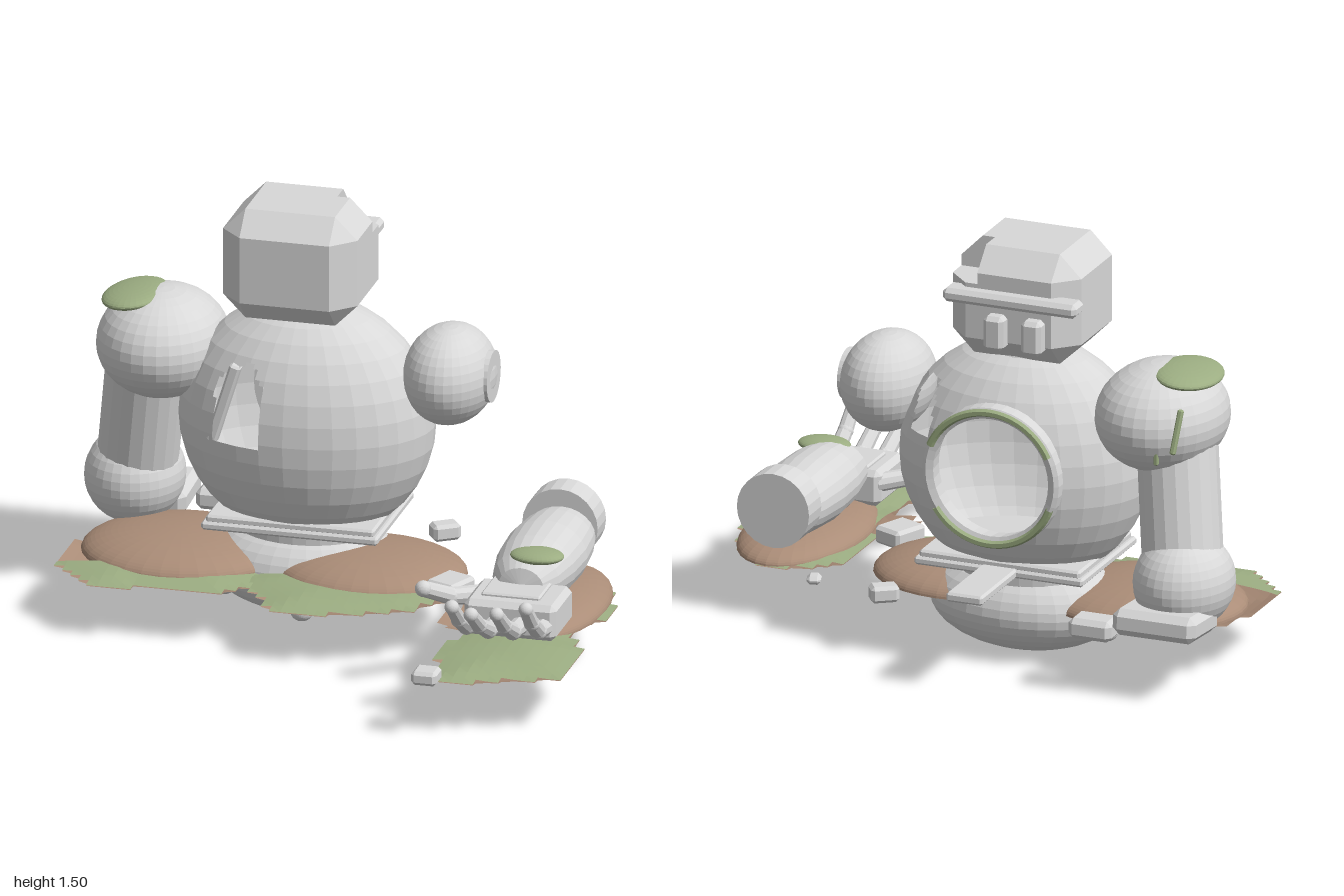
import * as THREE from 'three';
import { ConvexGeometry } from 'three/addons/geometries/ConvexGeometry.js';

export function createModel() {
  const root = new THREE.Group();
  const mat = (name, color) => {
    const m = new THREE.MeshStandardMaterial({ color, side: THREE.DoubleSide, flatShading: true });
    m.name = name;
    return m;
  };
  const stone = mat('weathered grey', 0xd8d8d8);
  const dirt = mat('brown dirt', 0xab8d78);
  const moss = mat('green moss', 0x9cad82);

  const add = (name, geo, m, p = [0, 0, 0], r = [0, 0, 0]) => {
    const mesh = new THREE.Mesh(geo, m);
    mesh.name = name;
    mesh.position.set(...p);
    mesh.rotation.set(...r);
    root.add(mesh);
    return mesh;
  };
  const ball = (name, m, p, s, r, half = false) => {
    const g = new THREE.SphereGeometry(1, 32, 18, 0, Math.PI * 2, 0, half ? Math.PI / 2 : Math.PI);
    return add(name, g.scale(...s), m, p, r);
  };
  // stacked octagons [y, inset] inside a rectangle with cut corners
  const block = (x, z, c, rings, clamp = (p) => p) => {
    const pts = [];
    for (const [y, i] of rings)
      for (const sx of [-1, 1]) for (const sz of [-1, 1])
        for (const [a, b] of [[i, c], [c, i]])
          pts.push(clamp(new THREE.Vector3(sx * (x - a), y, sz * (z - b))));
    return new ConvexGeometry(pts);
  };
  const bevelBox = (name, p, [w, h, d], r, c = 0.015, m = stone) => add(name,
    block(w / 2, d / 2, c, [[-h / 2, c], [-h / 2 + c, 0], [h / 2 - c, 0], [h / 2, c]]), m, p, r);
  // straight round limb between two points
  const limb = (name, a, b, ra, rb, sides = 16) => {
    const va = new THREE.Vector3(...a), vb = new THREE.Vector3(...b), d = vb.clone().sub(va);
    const mesh = add(name, new THREE.CylinderGeometry(rb, ra, d.length(), sides), stone);
    mesh.position.copy(va).add(vb).multiplyScalar(0.5);
    mesh.quaternion.setFromUnitVectors(new THREE.Vector3(0, 1, 0), d.normalize());
  };
  const inside = (x, y, poly) => {
    let hit = false;
    for (let i = 0, j = poly.length - 1; i < poly.length; j = i++) {
      const [ax, ay] = poly[i], [bx, by] = poly[j];
      if (ay > y !== by > y && x < ((bx - ax) * (y - ay)) / (by - ay) + ax) hit = !hit;
    }
    return hit;
  };
  // distance from a point to the outline of a polygon
  const edgeDistance = (x, y, poly) => Math.min(...poly.map(([ax, ay], i) => {
    const [bx, by] = poly[(i + 1) % poly.length], dx = bx - ax, dy = by - ay;
    const t = THREE.MathUtils.clamp(((x - ax) * dx + (y - ay) * dy) / (dx * dx + dy * dy), 0, 1);
    return Math.hypot(x - ax - t * dx, y - ay - t * dy);
  }));
  // grid surface that keeps only the cells passing a test
  const gridSurface = (nu, nv, point, keep) => {
    const pos = [];
    for (let u = 0; u < nu; u++) for (let v = 0; v < nv; v++) {
      if (!keep(point(u + 0.5, v + 0.5))) continue;
      const [a, b, c, d] = [point(u, v), point(u, v + 1), point(u + 1, v + 1), point(u + 1, v)];
      for (const p of [a, b, c, a, c, d]) pos.push(...p);
    }
    const g = new THREE.BufferGeometry();
    g.setAttribute('position', new THREE.Float32BufferAttribute(pos, 3));
    g.computeVertexNormals();
    return g;
  };

  // hollow faceted egg with a broken front, a round back opening and a torn side
  const crack = [[-0.44, 0.69], [-0.43, 0.9], [-0.3, 0.97], [-0.25, 0.88], [-0.25, 0.67], [-0.35, 0.69]];
  const egg = (i, j) => {
    const a = (i / 32) * Math.PI * 2, t = (j / 18) * Math.PI;
    return new THREE.Vector3(-0.17 + 0.452 * Math.sin(t) * Math.sin(a), 0.7 + 0.44 * Math.cos(t), -0.31 + 0.332 * Math.sin(t) * Math.cos(a));
  };
  const bodyPoint = (u, v) => {
    const i = Math.floor(u / 4), j = Math.floor(v / 4), s = u / 4 - i, t = v / 4 - j;
    return egg(i, j).lerp(egg(i + 1, j), s).lerp(egg(i, j + 1).lerp(egg(i + 1, j + 1), s), t).toArray();
  };
  add('body', gridSurface(128, 72, bodyPoint, ([x, y, z]) => {
    if (y < 0.35) return false;
    if (z > -0.31) return !inside(x, y, crack);
    if (Math.hypot(x + 0.17, y - 0.72) < 0.235) return false;
    return !(x > 0.08 && x < 0.17 && y > 0.82 && y < 1.0 && z < -0.42);
  }), stone);
  bevelBox('brokenPanel', [-0.405, 0.81, -0.08], [0.04, 0.3, 0.05], [0, 0, -0.3], 0.008);

  // back opening rim
  const rim = [[0.225, -0.06], [0.255, -0.06], [0.255, 0.015], [0.24, 0.025], [0.215, 0.015], [0.225, -0.06]];
  add('backRim', new THREE.LatheGeometry(rim.map((p) => new THREE.Vector2(...p)), 40), stone,
    [-0.17, 0.72, -0.605], [-Math.PI / 2, 0, 0]);
  for (const [start, len] of [[0.4, 2.3], [3.5, 2.2]])
    add('rimMoss', new THREE.TorusGeometry(0.24, 0.014, 6, 28, len), moss, [-0.17, 0.72, -0.632], [0, 0, start]);

  // waist and pelvis
  bevelBox('waistPlateUpper', [-0.17, 0.375, -0.31], [0.6, 0.03, 0.47], undefined, 0.008);
  bevelBox('waistPlateLower', [-0.17, 0.352, -0.31], [0.63, 0.03, 0.49], undefined, 0.008);
  add('waist', new THREE.CylinderGeometry(0.25, 0.24, 0.13, 32).scale(1, 1, 0.76), stone, [-0.17, 0.285, -0.3]);
  bevelBox('backTongue', [-0.17, 0.353, -0.66], [0.135, 0.034, 0.4], undefined, 0.008);
  ball('pelvis', stone, [-0.17, 0.175, -0.29], [0.35, 0.172, 0.25]);
  for (const p of [[-0.45, 0.075, -0.25], [-0.13, 0.065, -0.09], [0.11, 0.08, -0.19]])
    ball('pelvisBolt', stone, p, [0.04, 0.035, 0.04]);

  // head: lower block, and an upper block with one missing corner
  const headAt = [-0.19, 0, -0.295];
  const headPart = (rings, clamp) => add('head', block(0.24, 0.217, 0.08, rings, clamp), stone, headAt);
  headPart([[1.1, 0.08], [1.18, 0], [1.38, 0]]);
  const crown = [[1.38, 0], [1.42, 0], [1.5, 0.08]];
  headPart(crown, (p) => p.setZ(Math.max(p.z, -0.06)));
  headPart(crown, (p) => p.setX(Math.min(p.x, 0.115)));
  add('neck', new THREE.CylinderGeometry(0.12, 0.17, 0.12, 24), stone, [-0.18, 1.07, -0.31]);
  bevelBox('brow', [-0.21, 1.34, -0.515], [0.5, 0.05, 0.09]);
  for (const x of [-0.15, -0.29]) bevelBox('eyeBlock', [x, 1.22, -0.51], [0.075, 0.125, 0.1]);

  // left shoulder stump
  ball('leftShoulder', stone, [0.34, 0.907, -0.312], [0.16, 0.176, 0.215]);
  limb('leftSocket', [0.42, 0.91, -0.312], [0.495, 0.91, -0.312], 0.092, 0.092, 24);

  // right arm, hanging to the ground
  ball('rightShoulder', stone, [-0.687, 0.927, -0.32], [0.23, 0.193, 0.27]);
  limb('rightUpperArm', [-0.81, 0.42, -0.43], [-0.75, 0.86, -0.34], 0.142, 0.142, 20);
  ball('rightForearm', stone, [-0.823, 0.378, -0.45], [0.175, 0.172, 0.2]);
  bevelBox('rightPalm', [-0.805, 0.275, -0.58], [0.31, 0.095, 0.24], [0.08, 0, 0], 0.025);
  bevelBox('rightFingerBlock', [-0.57, 0.24, -0.65], [0.16, 0.075, 0.11], undefined, 0.018);
  ball('shoulderMoss', moss, [-0.785, 1.088, -0.315], [0.115, 0.03, 0.158], [0, 0, 0.12]);
  bevelBox('mossStrand', [-0.83, 0.95, -0.535], [0.02, 0.16, 0.02], [0.25, 0, 0.1], 0.005, moss);
  bevelBox('mossStrand', [-0.76, 0.85, -0.55], [0.016, 0.05, 0.02], [0, 0, 0], 0.004, moss);
  ball('elbowMoss', moss, [-0.88, 0.5, -0.51], [0.07, 0.015, 0.07], [-0.3, 0, 0.3]);

  // fallen left arm
  limb('fallenCuff', [0.74, 0.395, -0.39], [0.74, 0.395, -0.28], 0.135, 0.135, 24);
  const fore = [[0.11, -0.34], [0.135, -0.22], [0.148, -0.08], [0.142, 0.06], [0.12, 0.18], [0.08, 0.25], [0, 0.265]];
  const foreGeo = new THREE.LatheGeometry(fore.map((p) => new THREE.Vector2(...p)), 24);
  add('fallenForearm', foreGeo.scale(1, 1, 0.84), stone, [0.745, 0.365, 0], [Math.PI / 2, 0, 0]);
  bevelBox('fallenHand', [0.75, 0.3, 0.305], [0.33, 0.13, 0.24], undefined, 0.02);
  bevelBox('fallenPalm', [0.74, 0.367, 0.285], [0.21, 0.02, 0.17], undefined, 0.006);
  ball('forearmMoss', moss, [0.78, 0.452, 0.165], [0.095, 0.024, 0.07]);
  const chain = (name, pts, r) => {
    for (let i = 0; i + 1 < pts.length; i++) {
      limb(name, pts[i], pts[i + 1], r - i * 0.003, r - i * 0.003 - 0.003, 10);
      ball(name + 'Joint', stone, pts[i + 1], [1, 1, 1].map((v) => v * (r - i * 0.003 - 0.002)));
    }
  };
  [[0.62, 0.255], [0.703, 0.31], [0.788, 0.285], [0.872, 0.21]].forEach(([x, len]) => chain('finger', [
    [x, 0.285, 0.4], [x, 0.3, 0.42 + len * 0.33], [x - 0.003, 0.355, 0.42 + len * 0.68], [x - 0.006, 0.43, 0.42 + len],
  ], 0.033));
  chain('thumb', [[0.61, 0.315, 0.22], [0.51, 0.325, 0.3], [0.44, 0.385, 0.41]], 0.034);

  // dirt mounds: [x, z, rx, height, rz]
  for (const [x, z, rx, h, rz] of [[-0.59, -0.22, 0.355, 0.092, 0.31], [0.09, -0.2, 0.335, 0.088, 0.285], [0.76, -0.03, 0.215, 0.075, 0.38]])
    ball('dirtMound', dirt, [x, 0.197, z], [rx, h, rz], undefined, true);

  // ragged ground clumps on a square grid: shallow green top over a brown bowl
  const clumps = [
    [[-0.98, -0.17], [-0.98, 0.02], [-0.82, 0.2], [-0.7, 0.2], [-0.66, 0.16], [-0.36, 0.16], [-0.27, 0.04], [-0.28, -0.3], [-0.45, -0.53], [-0.72, -0.55], [-0.9, -0.4]],
    [[-0.31, 0.02], [-0.22, 0.14], [-0.15, 0.28], [-0.03, 0.28], [0.12, 0.24], [0.3, 0.16], [0.4, 0.05], [0.42, -0.2], [0.3, -0.4], [0, -0.45], [-0.22, -0.35]],
    [[0.52, -0.28], [0.53, 0.02], [0.44, 0.06], [0.46, 0.25], [0.56, 0.3], [0.52, 0.5], [0.58, 0.79], [0.68, 0.79], [0.88, 0.7], [1.0, 0.65], [1.0, 0.36], [0.94, 0.28], [0.92, 0.15], [1.0, 0.04], [0.96, -0.2], [0.8, -0.41], [0.64, -0.38]],
  ];
  for (const poly of clumps) {
    const xs = poly.map((p) => p[0]), zs = poly.map((p) => p[1]);
    const x0 = Math.min(...xs), x1 = Math.max(...xs), z0 = Math.min(...zs), z1 = Math.max(...zs);
    const n = Math.round((x1 - x0) / 0.04), m = Math.round((z1 - z0) / 0.04);
    const point = (base, rise) => (u, v) => {
      const x = x0 + (u / n) * (x1 - x0), z = z0 + (v / m) * (z1 - z0);
      const t = inside(x, z, poly) ? Math.min(1, edgeDistance(x, z, poly) / 0.25) : 0;
      return [x, base + rise * t * (2 - t), z];
    };
    const bare = ([x, , z]) => (x < -0.84 && z < 0.02) || (x > 0.4 && x < 0.56 && z > 0.04 && z < 0.27);
    add('grass', gridSurface(n, m, point(0.197, 0.024), (p) => inside(p[0], p[2], poly) && !bare(p)), moss);
    add('soil', gridSurface(n, m, point(0.194, -0.05), (p) => inside(p[0], p[2], poly)), dirt);
  }

  // loose rubble
  for (const [x, y, z, w, h, d, r] of [
    [0.42, 0.235, -0.02, 0.12, 0.065, 0.14, -0.4], [0.56, 0.222, 0.81, 0.09, 0.05, 0.09, 0],
    [0.25, 0.225, -0.57, 0.1, 0.06, 0.07, 0.6], [0.54, 0.212, -0.5, 0.05, 0.03, 0.065, 0.3]])
    bevelBox('rubble', [x, y, z], [w, h, d], [0, r, 0], 0.012);

  return root;
}
